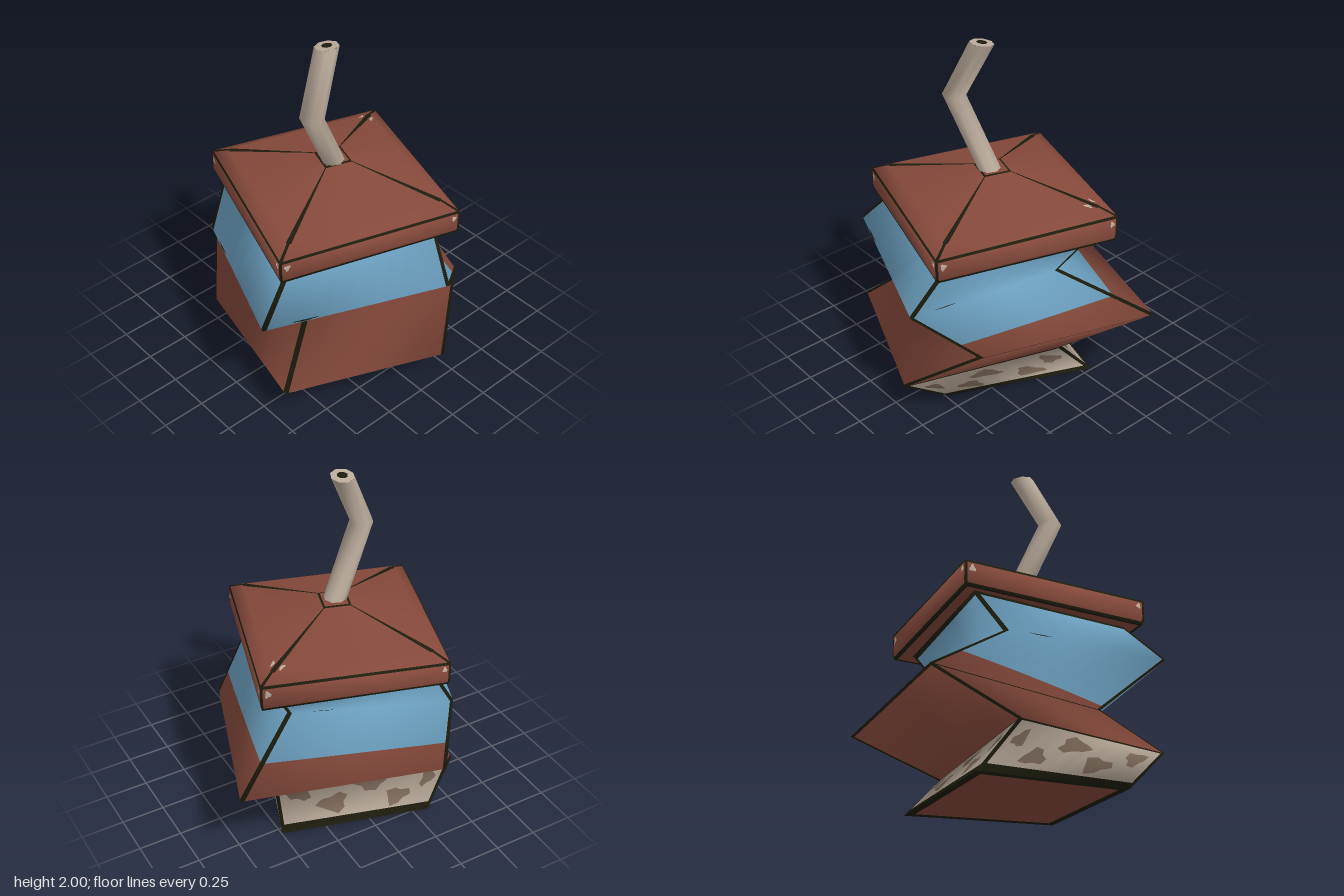
import * as THREE from 'three';
import { mergeVertices } from 'three/addons/utils/BufferGeometryUtils.js';

const mat = (name, color) => {
  const m = new THREE.MeshStandardMaterial({ color });
  m.name = name;
  return m;
};
const V = (x, y, z) => new THREE.Vector3(x, y, z);
const lerp = THREE.MathUtils.lerp;

// Collects triangles per colour, then turns each colour into one mesh
class Part {
  constructor(name) { this.name = name; this.data = {}; }
  tri(color, ...pts) {
    const d = (this.data[color] ??= { p: [], n: [] });
    for (const { p, n } of pts) { d.p.push(p.x, p.y, p.z); d.n.push(n.x, n.y, n.z); }
  }
  build(mats) {
    const group = new THREE.Group();
    group.name = this.name;
    for (const [color, d] of Object.entries(this.data)) {
      const g = new THREE.BufferGeometry();
      g.setAttribute('position', new THREE.Float32BufferAttribute(d.p, 3));
      g.setAttribute('normal', new THREE.Float32BufferAttribute(d.n, 3));
      const mesh = new THREE.Mesh(g, mats[color]);
      mesh.name = `${this.name} ${color}`;
      group.add(mesh);
    }
    return group;
  }
}

// Bilinear face through four corners a, b (bottom) and c, d (top)
const makeFace = (P, N) => (u, v, lift = 0) => {
  const mix = (Q) => Q[0].clone().lerp(Q[1], u).lerp(Q[3].clone().lerp(Q[2], u), v);
  const n = mix(N).normalize();
  return { p: mix(P).addScaledVector(n, lift), n };
};

// Fill one strip of a face; v0 and v1 are [left, right] heights
function strip(part, face, color, u0, u1, v0, v1, steps) {
  for (let k = 0; k < steps; k++) {
    const a = lerp(u0, u1, k / steps), b = lerp(u0, u1, (k + 1) / steps);
    const A = face(a, lerp(...v0, a)), B = face(b, lerp(...v0, b));
    const C = face(b, lerp(...v1, b)), D = face(a, lerp(...v1, a));
    part.tri(color, A, B, C);
    part.tri(color, A, C, D);
  }
}

// Four-sided loft with smooth normals; each band is a list of [upper limit, colour]
function loft(part, rings, bands, edge) {
  const normals = rings.map((r) => r.map(() => V(0, 0, 0)));
  bands.forEach((_, j) => {
    for (let i = 0; i < 4; i++) {
      const k = (i + 1) % 4;
      const n = rings[j + 1][k].clone().sub(rings[j][i])
        .cross(rings[j + 1][i].clone().sub(rings[j][k]));
      [normals[j][i], normals[j][k], normals[j + 1][i], normals[j + 1][k]].forEach((m) => m.add(n));
    }
  });
  normals.flat().forEach((n) => n.normalize());
  return bands.map((band, j) => [0, 1, 2, 3].map((i) => {
    const k = (i + 1) % 4;
    const quad = (Q) => [Q[j][i], Q[j][k], Q[j + 1][k], Q[j + 1][i]];
    const face = makeFace(quad(rings), quad(normals));
    const len = (rings[j][i].distanceTo(rings[j][k]) + rings[j + 1][i].distanceTo(rings[j + 1][k])) / 2;
    const m = Math.min(edge / len, 0.2);
    strip(part, face, 'dark', 0, m, [0, 0], [1, 1], 1);
    strip(part, face, 'dark', 1 - m, 1, [0, 0], [1, 1], 1);
    let low = [0, 0];
    for (const [limit, color] of band) {
      const high = Array.isArray(limit) ? [limit[i], limit[k]] : [limit, limit];
      strip(part, face, color, m, 1 - m, low, high, 8);
      low = high;
    }
    return face;
  }));
}

// Downward-facing cap with a coloured border
function underside(part, r, m, inner, border) {
  const n = V(0, -1, 0);
  const face = makeFace([r[0], r[3], r[2], r[1]], [n, n, n, n]);
  const cuts = [0, m, 1 - m, 1];
  for (let i = 0; i < 3; i++) for (let j = 0; j < 3; j++) {
    strip(part, face, i === 1 && j === 1 ? inner : border, cuts[i], cuts[i + 1],
      [cuts[j], cuts[j]], [cuts[j + 1], cuts[j + 1]], 2);
  }
}

// Irregular painted blotch lying on a face
function blotch(part, face, color, cu, cv, ru, rv, seed = 0, lift = 0.003) {
  const sides = 10;
  const at = (k) => {
    const t = (k % sides) / sides * Math.PI * 2;
    const w = 0.8 + 0.25 * Math.sin(t * 3 + seed);
    return face(cu + Math.cos(t) * ru * w, cv + Math.sin(t) * rv * w, lift);
  };
  for (let k = 0; k < sides; k++) part.tri(color, face(cu, cv, lift), at(k), at(k + 1));
}

export function createModel() {
  const mats = {
    red: mat('russet', 0x85493b),
    blue: mat('dusty blue', 0x6b9fbf),
    cream: mat('bone', 0xbbab9b),
    brown: mat('mottled brown', 0x85705f),
    dark: mat('dark edging', 0x1d1c0d),
  };
  const root = new THREE.Group();
  root.name = 'lidded pot';

  // Folded body: corners run front, right, back, left
  const body = new Part('body');
  const bodyRings = [
    [V(0.30, 0.035, 0.59), V(0.53, 0.06, -0.20), V(-0.30, 0.01, -0.50), V(-0.53, 0, 0.34)],
    [V(0.42, 0.22, 0.73), V(0.78, 0.22, -0.14), V(-0.10, 0.24, -0.45), V(-0.44, 0.24, 0.55)],
    [V(0.26, 0.50, 0.44), V(0.52, 0.49, -0.48), V(-0.45, 0.51, -0.82), V(-0.78, 0.52, 0.27)],
    [V(0.36, 0.70, 0.82), V(0.75, 0.69, -0.18), V(-0.14, 0.71, -0.36), V(-0.49, 0.71, 0.50)],
    [V(0.30, 0.96, 0.58), V(0.55, 0.96, -0.24), V(-0.28, 0.96, -0.50), V(-0.56, 0.98, 0.33)],
  ];
  const bodyFaces = loft(body, bodyRings, [
    [[0.15, 'dark'], [0.97, 'cream'], [1, 'dark']],
    [[0.97, 'red'], [1, 'dark']],
    [[[0.06, 0.32, 0.42, 0.38], 'red'], [1, 'blue']],
    [[0.88, 'blue'], [1, 'dark']],
  ], 0.02);
  underside(body, bodyRings[0], 0.05, 'red', 'dark');

  // Mottling around the foot
  const spots = [[0.14, 0.7, 0.08, 0.2], [0.34, 0.42, 0.11, 0.22], [0.56, 0.72, 0.12, 0.18],
    [0.74, 0.38, 0.09, 0.2], [0.9, 0.66, 0.05, 0.2]];
  bodyFaces[0].forEach((face, i) => spots.forEach(([u, v, ru, rv], k) =>
    blotch(body, face, 'brown', i % 2 ? 1 - u : u, v, ru, rv, i * 2 + k)));
  // Short scratches along the upper fold
  bodyFaces[3].forEach((face) => blotch(body, face, 'dark', 0.22, 0.03, 0.08, 0.015));
  root.add(body.build(mats));

  // Hipped lid
  const lid = new Part('lid');
  const plan = [[0.36, 0.69], [0.67, -0.31], [-0.33, -0.62], [-0.64, 0.36]];
  const lidRing = (scale, heights) => plan.map(([x, z], i) =>
    V(0.015 + (x - 0.015) * scale, heights[i], 0.02 + (z - 0.02) * scale));
  const lidRings = [
    lidRing(0.985, [0.95, 0.95, 0.955, 0.97]),
    lidRing(1, [0.985, 0.98, 0.985, 1.0]),
    lidRing(1, [1.09, 1.09, 1.11, 1.11]),
    lidRing(0.86, [1.135, 1.135, 1.145, 1.145]),
    lidRing(0.13, [1.26, 1.26, 1.26, 1.26]),
  ];
  const lidFaces = loft(lid, lidRings, [
    [[0.45, 'dark'], [1, 'red']],
    [[0.9, 'red'], [1, 'dark']],
    [[0.08, 'dark'], [1, 'red']],
    [[0.97, 'red'], [1, 'dark']],
  ], 0.012);
  underside(lid, lidRings[0], 0.015, 'red', 'dark');
  // Worn chips near the lid corners
  lidFaces[1].forEach((face, i) => {
    blotch(lid, face, 'cream', 0.04, 0.6, 0.02, 0.22, i);
    blotch(lid, face, 'cream', 0.965, 0.65, 0.015, 0.18, i + 1);
  });
  blotch(lid, lidFaces[3][2], 'cream', 0.05, 0.06, 0.02, 0.05);
  blotch(lid, lidFaces[3][1], 'cream', 0.95, 0.06, 0.02, 0.05);
  // Seat under the stem
  const [a, b, c, d] = lidRings[4].map((p) => ({ p, n: V(0, 1, 0) }));
  lid.tri('red', a, b, c);
  lid.tri('red', a, c, d);
  root.add(lid.build(mats));

  // Bent stem: a cylinder whose rings follow three centres
  const centres = [V(0.025, 1.24, 0.025), V(0.1, 1.65, 0.24), V(0.035, 1.99, 0.08)];
  let stemGeo = new THREE.CylinderGeometry(0.066, 0.066, 2, 8, 2, true);
  const pos = stemGeo.attributes.position;
  for (let i = 0; i < pos.count; i++) {
    const o = centres[Math.round(pos.getY(i)) + 1];
    const x = pos.getX(i);
    const tilt = o === centres[2] ? x * 0.15 : 0;
    pos.setXYZ(i, x + o.x, o.y + tilt, pos.getZ(i) + o.z);
  }
  stemGeo.deleteAttribute('uv');
  stemGeo.deleteAttribute('normal');
  stemGeo = mergeVertices(stemGeo);
  stemGeo.computeVertexNormals();
  const stem = new THREE.Mesh(stemGeo, mats.cream);
  stem.name = 'stem';
  root.add(stem);

  // Stem end and its dark core
  for (const [name, r, lift, m] of [['stem end', 0.066, 0, mats.cream], ['stem core', 0.03, 0.003, mats.dark]]) {
    const disc = new THREE.Mesh(new THREE.CircleGeometry(r, 8).rotateX(-Math.PI / 2), m);
    disc.name = name;
    disc.rotation.z = Math.atan(0.15);
    disc.position.copy(centres[2]).y += lift;
    root.add(disc);
  }
  return root;
}
